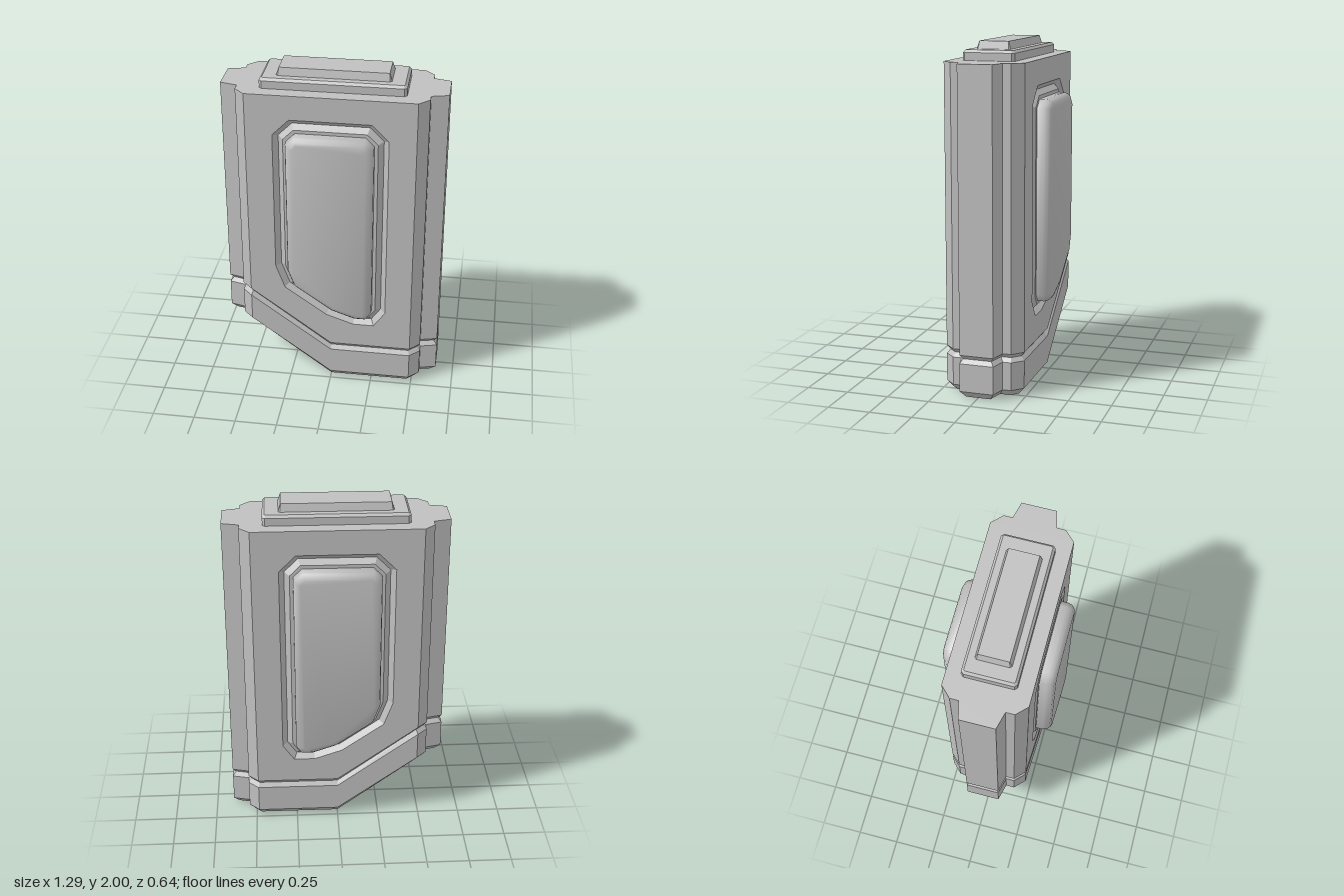
import * as THREE from 'three';
import { mergeGeometries, toCreasedNormals } from 'three/addons/utils/BufferGeometryUtils.js';

// Move each edge of a counter-clockwise outline inwards by d (outwards if negative)
function inset(poly, d) {
  const n = poly.length;
  return poly.map((p, i) => {
    const a = poly[(i + n - 1) % n], b = poly[(i + 1) % n];
    const l1 = Math.hypot(p[0] - a[0], p[1] - a[1]), l2 = Math.hypot(b[0] - p[0], b[1] - p[1]);
    const n1 = [(a[1] - p[1]) / l1, (p[0] - a[0]) / l1];
    const n2 = [(p[1] - b[1]) / l2, (b[0] - p[0]) / l2];
    const k = d / (1 + n1[0] * n2[0] + n1[1] * n2[1]);
    return [p[0] + k * (n1[0] + n2[0]), p[1] + k * (n1[1] + n2[1])];
  });
}

const at = (poly, z) => poly.map(([x, y]) => [x, y, z]);
const quad = (out, a, b, c, d) => out.push(...a, ...b, ...c, ...a, ...c, ...d);

function toGeometry(positions) {
  const g = new THREE.BufferGeometry();
  g.setAttribute('position', new THREE.Float32BufferAttribute(positions, 3));
  g.computeVertexNormals();
  return g;
}

// Walls between successive rings
function walls(rings, skip = () => false) {
  const out = [];
  for (let r = 0; r + 1 < rings.length; r++) {
    const a = rings[r], b = rings[r + 1], n = a.length;
    for (let i = 0; i < n; i++) {
      const j = (i + 1) % n;
      if (!skip(r, i)) quad(out, a[i], a[j], b[j], b[i]);
    }
  }
  return out;
}

// Flat face at height z, with an optional hole
function face(poly, z, hole) {
  const s = new THREE.Shape(poly.map(p => new THREE.Vector2(...p)));
  if (hole) s.holes.push(new THREE.Path(hole.map(p => new THREE.Vector2(...p))));
  const g = new THREE.ShapeGeometry(s).toNonIndexed().translate(0, 0, z);
  g.deleteAttribute('uv');
  return g;
}

// Stack of [inset, z] levels closed by a flat cap
function stack(poly, levels) {
  const rings = levels.map(([d, z]) => at(inset(poly, d), z));
  const [d, z] = levels[levels.length - 1];
  return mergeGeometries([toGeometry(walls(rings)), face(inset(poly, d), z)]);
}

// Mirrored copy for the back, with the corner order reversed
function mirrorZ(g) {
  const p = g.attributes.position, out = [];
  for (let i = 0; i < p.count; i += 3)
    for (const k of [i, i + 2, i + 1]) out.push(p.getX(k), p.getY(k), -p.getZ(k));
  return toGeometry(out);
}

function clippedRect(w, h, c) {
  return [[-w + c, -h], [w - c, -h], [w, -h + c], [w, h - c], [w - c, h], [-w + c, h], [-w, h - c], [-w, -h + c]];
}

export function createModel() {
  const group = new THREE.Group();
  const grey = new THREE.MeshStandardMaterial({ color: 0xc0c0c0 });
  grey.name = 'grey';
  const add = (name, g) => {
    const m = new THREE.Mesh(g, grey);
    m.name = name;
    group.add(m);
  };

  const TOP = 1.895, DEPTH = 0.235;

  // Stepped plan of the body, front chain then back chain
  const left = [[-0.645, 0.1], [-0.545, 0.125], [-0.545, 0.175], [-0.485, DEPTH]];
  const chain = [...left, [0, DEPTH], ...left.map(([x, z]) => [-x, z]).reverse()];
  const plan = [...chain.map(([x, z]) => [x, -z]), ...[...chain].reverse()];
  const rise = plan.map(([x]) => (x < -0.1 ? 0.355 : 0));

  // Body: chamfered foot, groove following the sloped base, straight walls
  const levels = [[0.035, 0], [0, 0.04], [0, 0.205], [0.02, 0.23], [0, 0.255]];
  const rings = levels.map(([d, h]) => inset(plan, d).map(([x, y], i) => [x, y, h + rise[i]]));
  rings.push(at(plan, TOP));
  const body = walls(rings, (r, i) => r === 4 && [3, 4, 12, 13].includes(i));
  const bottom = rings[0], top = rings[5], n = plan.length;
  for (let i = 0; i < 8; i++) {
    const k = n - 1 - i;
    quad(body, bottom[i], bottom[k], bottom[k - 1], bottom[i + 1]);
    quad(body, top[i], top[i + 1], top[k - 1], top[k]);
  }
  add('body', toGeometry(body).rotateX(-Math.PI / 2));

  // Pad outline, shared by the groove around it
  const pad = [
    [-0.25, 0.8], [-0.21, 0.69], [0.01, 0.535], [0.15, 0.487], [0.22, 0.487], [0.25, 0.53],
    [0.25, 1.62], [0.2, 1.67], [-0.2, 1.67], [-0.25, 1.62],
  ];
  const panel = [[-0.485, 0.61], [0, 0.255], [0.485, 0.255], [0.485, TOP], [-0.485, TOP]];
  const panelFace = face(panel, DEPTH, inset(pad, -0.08));
  const groove = stack(pad, [[-0.08, DEPTH], [-0.05, 0.205], [-0.02, DEPTH]]);
  const padShape = stack(pad, [[0, 0.23], [0, 0.275], [0.006, 0.297], [0.02, 0.313], [0.04, 0.321]]);

  for (const [side, turn] of [['front', g => g], ['back', mirrorZ]]) {
    add(side + 'Panel', turn(panelFace));
    add(side + 'Groove', turn(groove));
    add(side + 'Pad', toCreasedNormals(turn(padShape), 0.95));
  }

  // Stepped cap on top
  const plate = stack(clippedRect(0.415, 0.152, 0.015), [[0, TOP], [0, 1.94], [0.014, 1.955]]);
  const ridge = stack(clippedRect(0.325, 0.1, 0.01), [[0, 1.955], [0.003, 1.965], [0.014, 2]]);
  add('topPlate', plate.rotateX(-Math.PI / 2));
  add('topRidge', ridge.rotateX(-Math.PI / 2));

  return group;
}
